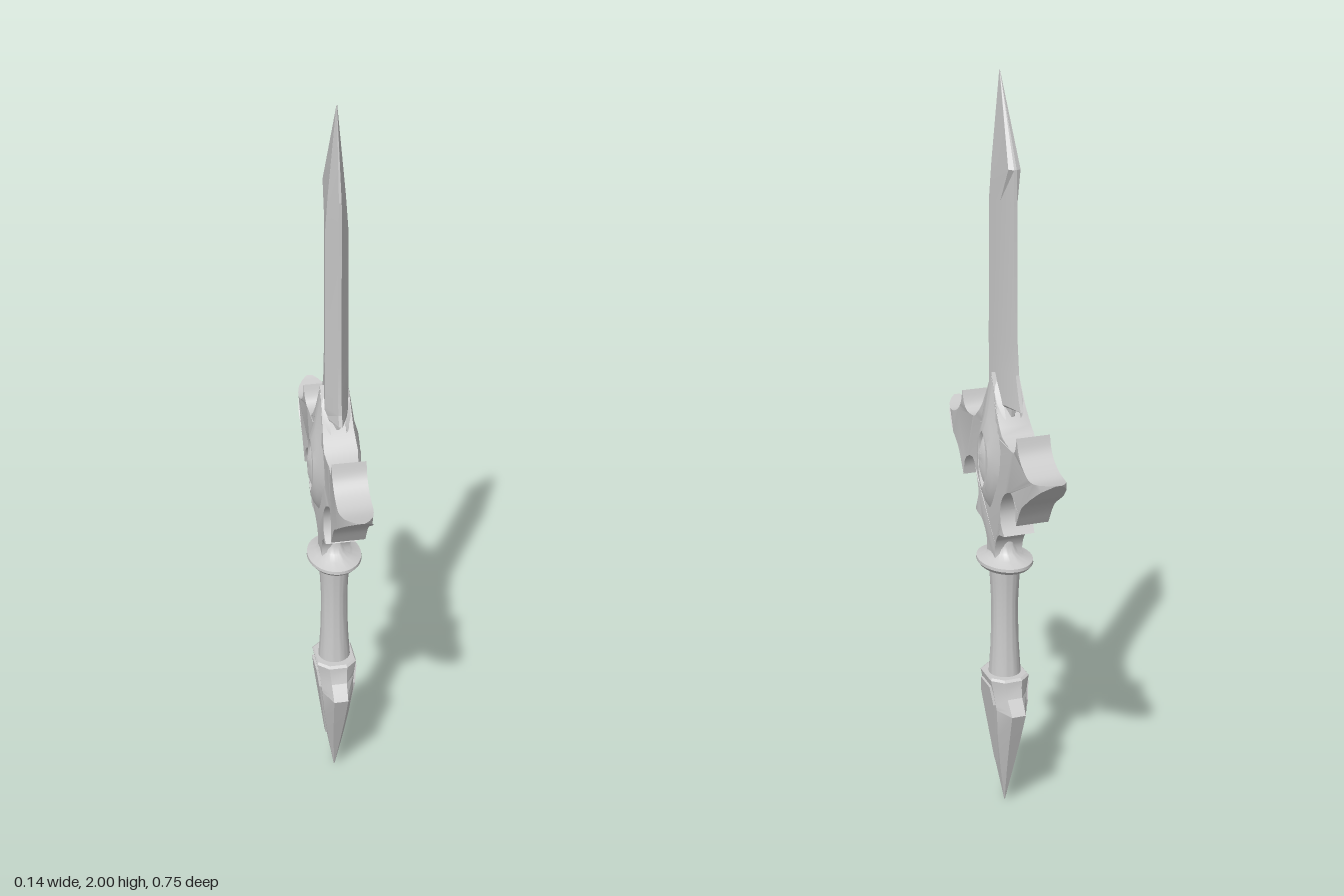
import * as THREE from 'three';
import { toCreasedNormals } from 'three/addons/utils/BufferGeometryUtils.js';

const material = new THREE.MeshStandardMaterial({ color: 0xcccccc });

function part(name, geometry, crease = 0.6) {
  const mesh = new THREE.Mesh(toCreasedNormals(geometry, crease), material);
  mesh.name = name;
  return mesh;
}

// Skin a list of equal-length rings of [x, y, z] points and cap both ends
function loft(rings) {
  const pos = [];
  const tri = (a, b, c) => pos.push(...a, ...b, ...c);
  const n = rings[0].length;
  const centre = (r) => [0, 1, 2].map((k) => r.reduce((s, p) => s + p[k], 0) / n);
  for (let r = 0; r < rings.length - 1; r++) {
    for (let i = 0; i < n; i++) {
      const j = (i + 1) % n, a = rings[r], b = rings[r + 1];
      tri(a[i], a[j], b[j]);
      tri(a[i], b[j], b[i]);
    }
  }
  const first = rings[0], last = rings[rings.length - 1];
  const c0 = centre(first), c1 = centre(last);
  for (let i = 0; i < n; i++) {
    const j = (i + 1) % n;
    tri(c0, first[j], first[i]);
    tri(c1, last[i], last[j]);
  }
  const g = new THREE.BufferGeometry();
  g.setAttribute('position', new THREE.Float32BufferAttribute(pos, 3));
  return g;
}

// Piecewise linear lookup in [[input, value], ...]
function lookup(table, u) {
  for (let i = 1; i < table.length; i++) {
    const [u0, v0] = table[i - 1], [u1, v1] = table[i];
    if (u <= u1) return v0 + ((v1 - v0) * (u - u0)) / (u1 - u0);
  }
  return table[table.length - 1][1];
}

// Single-edged blade: y, back z, ridge z, bevel z, edge z, half thickness
function makeBlade() {
  const stations = [
    [1.08, 0.05, 0.02, -0.02, -0.05, 0.026],
    [1.165, 0.06, 0.025, -0.035, -0.065, 0.03],
    [1.173, 0.095, 0.03, -0.06, -0.127, 0.03],
    [1.2, 0.084, 0.033, -0.052, -0.113, 0.03],
    [1.26, 0.077, 0.035, -0.033, -0.092, 0.03],
    [1.34, 0.074, 0.035, -0.024, -0.081, 0.03],
    [1.69, 0.08, 0.035, -0.023, -0.077, 0.028],
    [1.775, 0.081, 0.035, -0.068, -0.075, 0.022],
    [2.0, 0.036, 0.035, 0.034, 0.033, 0.001],
  ];
  const rings = stations.map(([y, back, ridge, bevel, edge, t]) => [
    [t * 0.15, y, back], [t, y, ridge], [t * 0.72, y, bevel], [t * 0.15, y, edge],
    [-t * 0.15, y, edge], [-t * 0.72, y, bevel], [-t, y, ridge], [-t * 0.15, y, back],
  ]);
  return part('blade', loft(rings), 0.2);
}

// Cross guard: half outline as curves between sharp points, mirrored
function makeGuard() {
  const runs = [
    [[0, 1.245], [0.03, 1.19], [0.07, 1.128], [0.115, 1.092], [0.165, 1.084], [0.19, 1.1], [0.203, 1.135]],
    [[0.203, 1.135], [0.217, 1.095], [0.25, 1.066], [0.3, 1.052], [0.375, 1.066]],
    [[0.375, 1.066], [0.285, 0.998], [0.235, 0.96], [0.198, 0.9]],
    [[0.198, 0.9], [0.187, 0.948], [0.15, 0.968], [0.11, 0.953], [0.084, 0.91], [0.086, 0.87], [0.108, 0.835]],
    [[0.108, 0.835], [0.068, 0.825], [0.042, 0.8], [0.03, 0.77], [0.032, 0.74]],
  ];
  const half = [];
  for (const run of runs) {
    const curve = new THREE.SplineCurve(run.map(([x, y]) => new THREE.Vector2(x, y)));
    half.push(...curve.getPoints(14).slice(half.length ? 1 : 0));
  }
  const mirrored = half.slice(1).reverse().map((p) => new THREE.Vector2(-p.x, p.y));
  const shape = new THREE.Shape([...half, ...mirrored]);
  const g = new THREE.ExtrudeGeometry(shape, { depth: 2, steps: 1, bevelEnabled: false });
  g.translate(0, 0, -1);
  g.rotateY(Math.PI / 2);
  // thickness changes along the arms and closes at their tips
  const thickness = [[0, 0.036], [0.06, 0.04], [0.09, 0.044], [0.14, 0.037], [0.2, 0.044],
    [0.3, 0.044], [0.345, 0.033], [0.375, 0.008]];
  const p = g.attributes.position;
  for (let i = 0; i < p.count; i++) p.setX(i, p.getX(i) * lookup(thickness, Math.abs(p.getZ(i))));
  return part('crossGuard', g, 0.5);
}

// Raised boss with an almond frame and gem: x, half width, top, bottom, pointedness
function makeBoss(name, turn) {
  const layers = [
    [0.02, 0.09, 1.24, 0.85, 2],
    [0.037, 0.08, 1.235, 0.87, 2],
    [0.052, 0.052, 1.135, 0.895, 1.5],
    [0.062, 0.04, 1.1, 0.92, 1.4],
    [0.063, 0.03, 1.09, 0.935, 1.4],
    [0.056, 0.024, 1.08, 0.945, 1.4],
    [0.062, 0.018, 1.065, 0.96, 1.4],
    [0.07, 0.003, 1.04, 0.99, 1.4],
  ];
  const n = 32;
  const rings = layers.map(([x, w, top, bottom, power]) =>
    Array.from({ length: n }, (_, i) => {
      const a = (i / n) * Math.PI * 2, c = Math.cos(a), s = Math.sin(a);
      const y = 1.02 + s * (s > 0 ? top - 1.02 : 1.02 - bottom);
      return [x, y, -w * Math.sign(c) * Math.abs(c) ** power];
    }));
  const mesh = part(name, loft(rings), 0.5);
  mesh.rotation.y = turn;
  return mesh;
}

function turned(name, profile, scaleX) {
  const g = new THREE.LatheGeometry(profile.map(([r, y]) => new THREE.Vector2(r, y)), 40);
  g.scale(scaleX, 1, 1);
  return part(name, g.toNonIndexed(), 0.6);
}

// Eight-sided pommel section: half width in z, half depth in x, flat width ratio
function pommelRing(y, w, d, flat) {
  return [
    [d, y, w * flat], [d, y, -w * flat], [d * 0.45, y, -w], [-d * 0.45, y, -w],
    [-d, y, -w * flat], [-d, y, w * flat], [-d * 0.45, y, w], [d * 0.45, y, w],
  ];
}

export function createModel() {
  const model = new THREE.Group();
  model.name = 'dagger';
  model.add(makeBlade(), makeGuard(), makeBoss('leftBoss', 0), makeBoss('rightBoss', Math.PI));

  // Handle
  model.add(turned('collar', [[0, 0.715], [0.085, 0.715], [0.095, 0.725], [0.094, 0.733], [0.065, 0.742],
    [0.045, 0.755], [0.036, 0.775], [0.036, 0.8], [0, 0.8]], 0.76));
  model.add(turned('grip', [[0, 0.38], [0.046, 0.38], [0.043, 0.42], [0.039, 0.48], [0.037, 0.55],
    [0.037, 0.61], [0.04, 0.67], [0.044, 0.72], [0, 0.72]], 0.97));

  // Pommel body, flared then tapering to a point
  model.add(part('pommel', loft([
    pommelRing(0.005, 0.001, 0.001, 0.5),
    pommelRing(0.12, 0.042, 0.02, 0.5),
    pommelRing(0.22, 0.078, 0.034, 0.5),
    pommelRing(0.312, 0.11, 0.043, 0.5),
    pommelRing(0.325, 0.1, 0.044, 0.5),
    pommelRing(0.35, 0.079, 0.046, 0.55),
    pommelRing(0.375, 0.07, 0.05, 0.6),
    pommelRing(0.395, 0.068, 0.054, 0.6),
    pommelRing(0.4, 0.06, 0.05, 0.6),
  ]), 0.35));

  // Raised panels on both broad sides of the pommel
  model.add(part('pommelPanels', loft([
    [0.13, 0.01, 0.026], [0.325, 0.048, 0.05], [0.36, 0.037, 0.054], [0.374, 0.034, 0.056],
  ].map(([y, w, d]) => [[d, y, w], [d, y, -w], [-d, y, -w], [-d, y, w]])), 0.3));

  return model;
}
